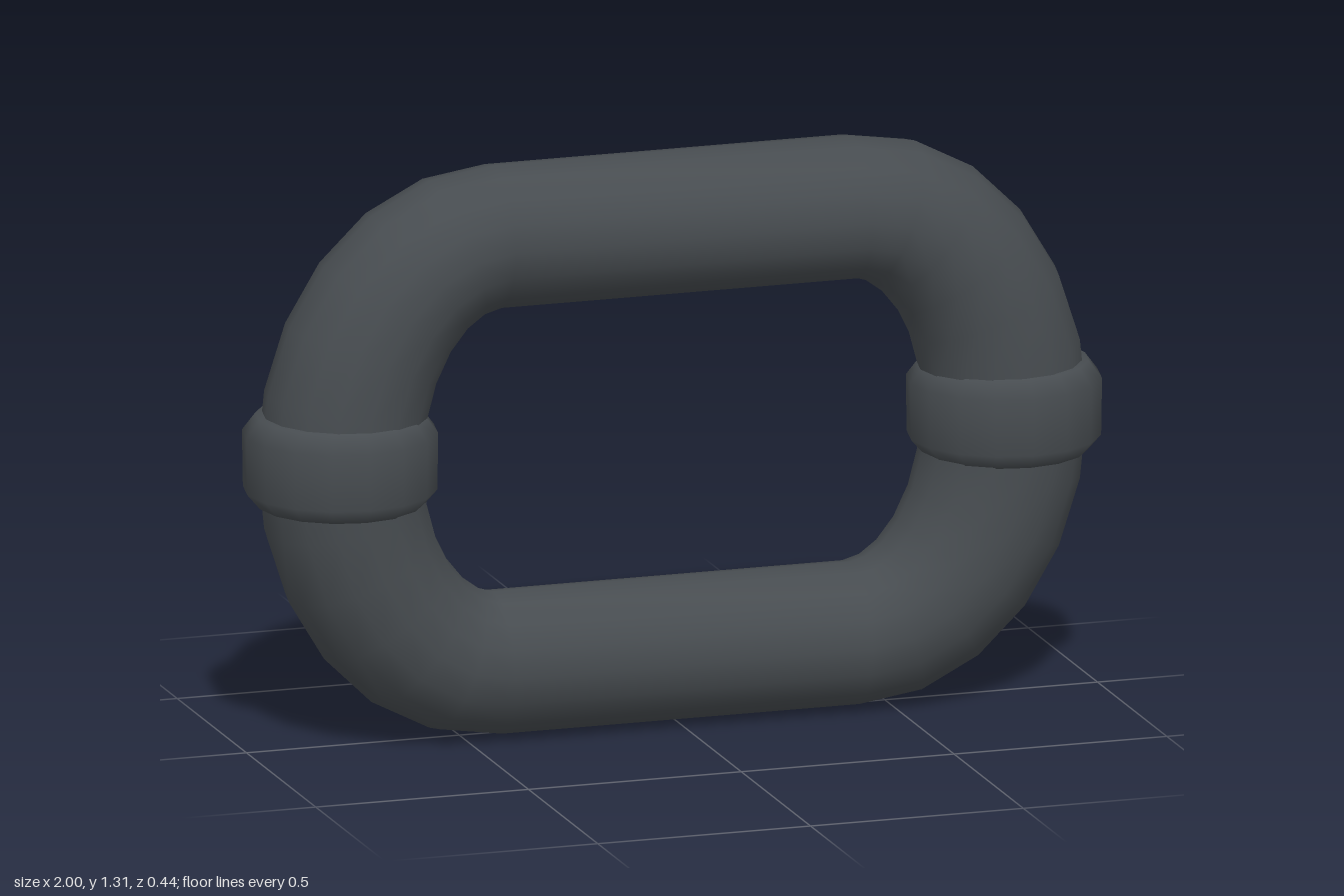
import * as THREE from 'three';

const MID_Y = 0.655;      // height of the link's centre line
const SIDE_X = 0.78;      // x of the tube centre at each side
const BAR_X = 0.42;       // half length of the straight bars
const RISE = 0.492;       // height of the bars above the centre line
const CORNER_STEPS = 6;
const SIDES = 16;

// Rounded-link centre line: two straight bars joined by half-ellipse bends
function linkSections() {
  const sections = [];
  const rx = SIDE_X - BAR_X;
  for (const side of [1, -1]) {
    for (let i = 0; i <= CORNER_STEPS * 2; i++) {
      const a = -Math.PI / 2 + (i / (CORNER_STEPS * 2)) * Math.PI;
      const c = Math.cos(a) * side, s = Math.sin(a) * side;
      const normal = new THREE.Vector2(c / rx, s / RISE).normalize();
      sections.push({
        x: side * BAR_X + c * rx,
        y: MID_Y + s * RISE,
        normal,
        radius: 0.163 + 0.023 * Math.pow(Math.abs(Math.cos(a)), 1.3), // thicker at the sides
      });
    }
  }
  return sections;
}

// Closed tube lofted through the sections
function loftLoop(sections) {
  const positions = [], index = [];
  const n = sections.length;
  sections.forEach(({ x, y, normal, radius }, i) => {
    for (let j = 0; j < SIDES; j++) {
      const a = (j / SIDES) * Math.PI * 2;
      const out = Math.cos(a) * radius;
      positions.push(x + normal.x * out, y + normal.y * out, Math.sin(a) * radius);
      const i2 = (i + 1) % n, j2 = (j + 1) % SIDES;
      const p = i * SIDES + j, q = i2 * SIDES + j, r = i2 * SIDES + j2, s = i * SIDES + j2;
      index.push(p, q, s, q, r, s);
    }
  });
  const geometry = new THREE.BufferGeometry();
  geometry.setAttribute('position', new THREE.Float32BufferAttribute(positions, 3));
  geometry.setIndex(index);
  geometry.computeVertexNormals();
  return geometry;
}

export function createModel() {
  const group = new THREE.Group();
  group.name = 'chainLink';
  const iron = new THREE.MeshStandardMaterial({ color: 0x474c50 });
  iron.name = 'dark iron';

  const link = new THREE.Mesh(loftLoop(linkSections()), iron);
  link.name = 'linkTube';
  group.add(link);

  // Bevelled collar around the tube at each side
  const profile = [
    [0.15, -0.098], [0.188, -0.095], [0.218, -0.06], [0.22, 0.07], [0.19, 0.11], [0.15, 0.115],
  ].map(([r, y]) => new THREE.Vector2(r, y));
  const collarGeometry = new THREE.LatheGeometry(profile, SIDES);
  for (const [side, name] of [[1, 'leftCollar'], [-1, 'rightCollar']]) {
    const collar = new THREE.Mesh(collarGeometry, iron);
    collar.name = name;
    collar.position.set(side * SIDE_X, MID_Y, 0);
    group.add(collar);
  }
  return group;
}
